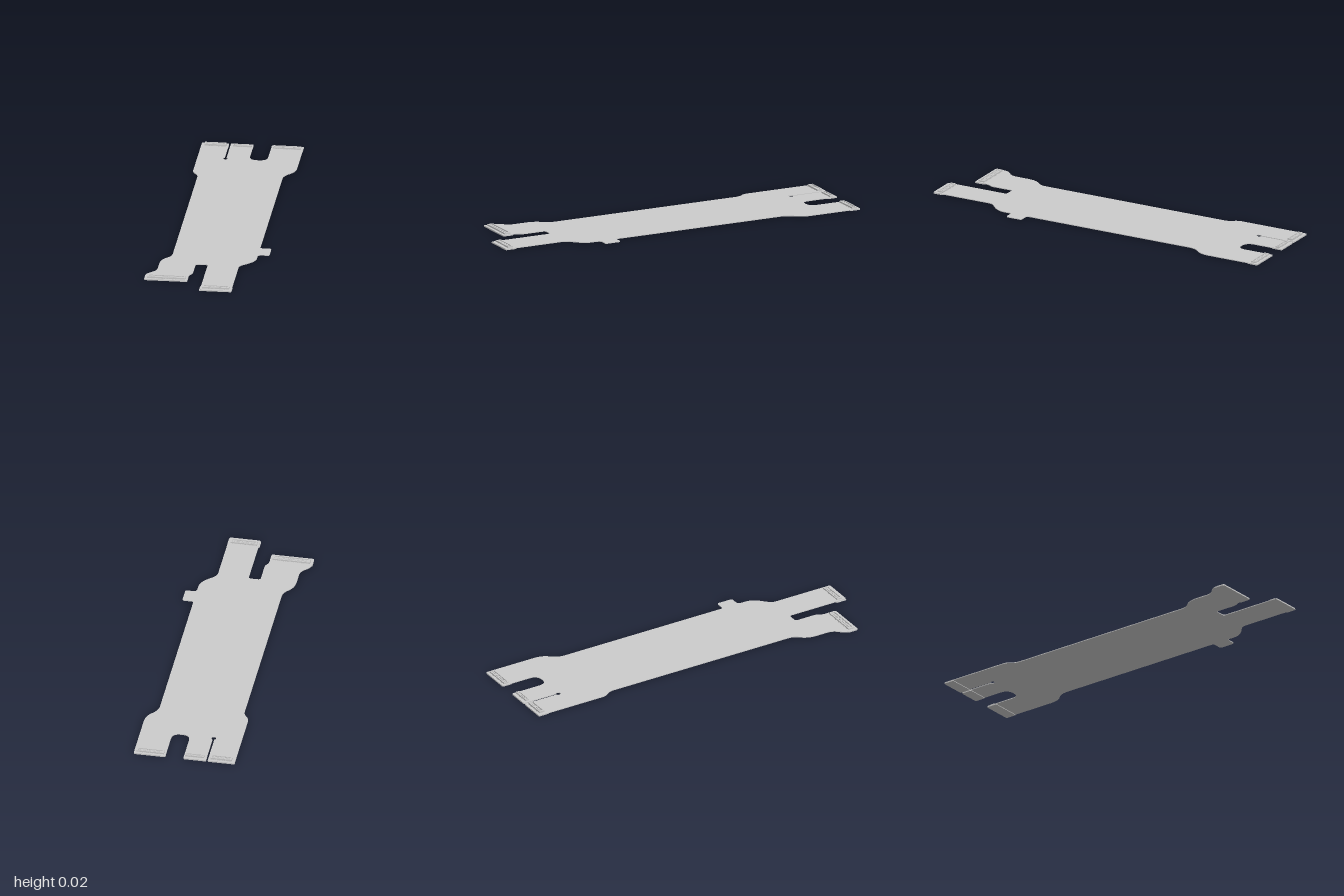
import * as THREE from 'three';
import { mergeGeometries } from 'three/addons/utils/BufferGeometryUtils.js';

const SHEET_Y = 0.003, SHEET_T = 0.004, TOP = SHEET_Y + SHEET_T;
const material = new THREE.MeshStandardMaterial({ color: 0xcccccc });

// Closed outline from [x, z, cornerRadius] points, laid in the ground plane
function roundedOutline(points) {
  const shape = new THREE.Shape();
  const n = points.length;
  points.forEach(([x, z, r], i) => {
    const p = new THREE.Vector2(x, -z);
    const toward = ([qx, qz]) => {
      const d = new THREE.Vector2(qx, -qz).sub(p);
      return d.setLength(Math.min(r, d.length() * 0.49)).add(p);
    };
    const a = toward(points[(i + n - 1) % n]);
    const b = toward(points[(i + 1) % n]);
    if (i === 0) shape.moveTo(a.x, a.y);
    else shape.lineTo(a.x, a.y);
    shape.quadraticCurveTo(p.x, p.y, b.x, b.y);
  });
  shape.closePath();
  return shape;
}

function slab(name, points, y, height) {
  const geometry = new THREE.ExtrudeGeometry(roundedOutline(points), {
    depth: height, bevelEnabled: false, curveSegments: 8,
  });
  geometry.rotateX(-Math.PI / 2).translate(0, y, 0);
  const mesh = new THREE.Mesh(geometry, material);
  mesh.name = name;
  return mesh;
}

const rect = (x0, x1, z0, z1, r) => [[x0, z0, r], [x1, z0, r], [x1, z1, r], [x0, z1, r]];

function box(w, h, d, x, y, z) {
  return new THREE.BoxGeometry(w, h, d).translate(x, y + h / 2, z);
}

// Board connector: base, raised rim, centre tongue and two rows of contacts
function connector(name, x0, x1, z0, z1, height) {
  const group = new THREE.Group();
  group.name = name;
  const w = x1 - x0, d = z1 - z0, wall = d * 0.18;
  const housing = new THREE.Mesh(mergeGeometries([
    box(w, height * 0.35, d, 0, 0, 0),
    ...[-1, 1].flatMap((s) => [
      box(w, height * 0.65, wall, 0, height * 0.35, s * (d - wall) / 2),
      box(wall * 1.5, height * 0.65, d - 2 * wall, s * (w - wall * 1.5) / 2, height * 0.35, 0),
    ]),
    box(w - wall * 6, height * 0.4, d * 0.2, 0, height * 0.35, 0),
  ]), material);
  housing.name = 'connectorHousing';

  const count = Math.round(w / 0.009);
  const pitch = (w - wall * 6) / count;
  const pins = [];
  for (let i = 0; i < count; i++) {
    const x = (i - (count - 1) / 2) * pitch;
    for (const s of [-1, 1]) {
      pins.push(box(pitch * 0.5, height * 0.4, d * 0.1, x, height * 0.35, s * d * 0.2));
      pins.push(box(pitch * 0.5, height * 0.15, d * 0.08, x, 0, s * d * 0.53));
    }
  }
  const contacts = new THREE.Mesh(mergeGeometries(pins), material);
  contacts.name = 'connectorContacts';
  group.add(housing, contacts);
  group.position.set((x0 + x1) / 2, TOP, (z0 + z1) / 2);
  return group;
}

export function createModel() {
  const model = new THREE.Group();
  model.name = 'flexCable';

  // Flexible sheet, traced around its tabs
  model.add(slab('flexSheet', [
    // back tabs with the narrow relief slit and the wide notch
    [-0.23, -1, 0.006], [-0.088, -1, 0.006],
    [-0.088, -0.806, 0.002], [-0.095, -0.806, 0.008], [-0.095, -0.783, 0.01],
    [-0.072, -0.783, 0.01], [-0.072, -0.806, 0.008], [-0.079, -0.806, 0.002],
    [-0.079, -1, 0.006], [0.04, -1, 0.006],
    [0.04, -0.79, 0.045], [0.135, -0.79, 0.045],
    [0.135, -1, 0.006], [0.302, -1, 0.006],
    // side with the small ear
    [0.302, -0.66, 0.05], [0.243, -0.60, 0.04],
    [0.243, 0.40, 0.012], [0.302, 0.40, 0.012], [0.302, 0.49, 0.012], [0.243, 0.49, 0.02],
    [0.243, 0.575, 0.05], [0.163, 0.65, 0.025],
    // long front leg
    [0.163, 1, 0.01], [0, 1, 0.01], [0, 0.655, 0.015],
    // stepped front foot
    [-0.063, 0.655, 0.015], [-0.063, 0.785, 0.02], [-0.08, 0.805, 0.02],
    [-0.08, 0.888, 0.008], [-0.305, 0.888, 0.008], [-0.305, 0.815, 0.03],
    [-0.252, 0.765, 0.03], [-0.252, 0.62, 0.05], [-0.198, 0.56, 0.03],
    [-0.198, -0.555, 0.03], [-0.23, -0.59, 0.03],
  ], SHEET_Y, SHEET_T));

  // Each end: stiffener footprint below and connector footprint above
  const ends = [
    ['backRight', [-0.23, -0.088, -1, -0.94], [-0.212, -0.1, -0.985, -0.957], 0.010],
    ['backMiddle', [-0.079, 0.04, -1, -0.94], [-0.065, 0.033, -0.982, -0.961], 0.008],
    ['backLeft', [0.135, 0.302, -1, -0.94], [0.145, 0.29, -0.985, -0.957], 0.008],
    ['frontFoot', [-0.305, -0.08, 0.828, 0.888], [-0.29, -0.092, 0.84, 0.874], 0.008],
    ['frontLeg', [-0.005, 0.165, 0.94, 1], [0.01, 0.15, 0.95, 0.98], 0.008],
  ];
  for (const [name, plate, plug, height] of ends) {
    model.add(slab(name + 'Stiffener', rect(...plate, 0.007), 0, SHEET_Y));
    model.add(connector(name + 'Connector', ...plug, height));
  }
  return model;
}
